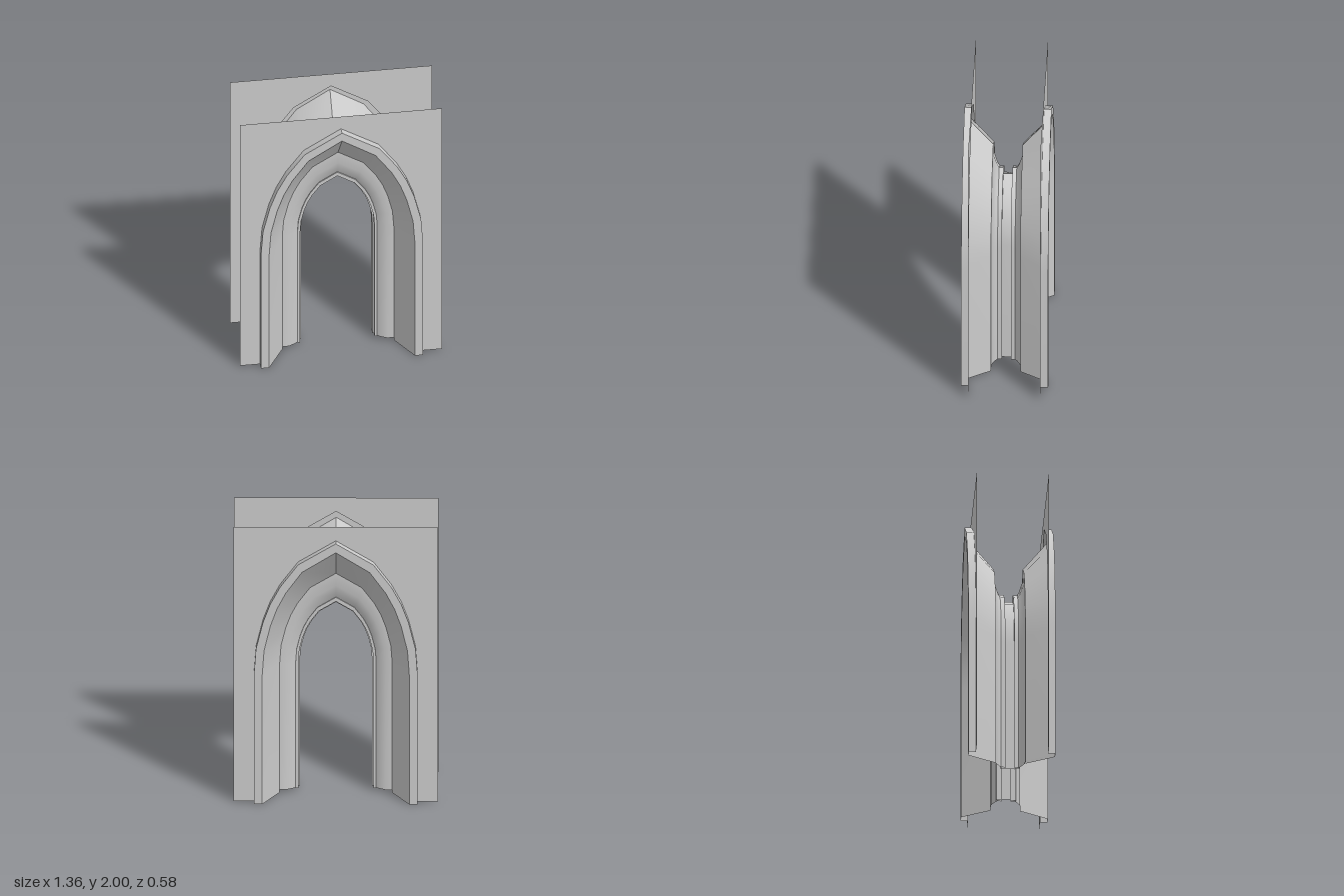
import * as THREE from 'three';
import { toCreasedNormals } from 'three/addons/utils/BufferGeometryUtils.js';

const SPRING = 0.94; // height at which the arch starts to curve
// Half of the pointed arch, as fractions of half-width and rise
const ARC = [[1, 0], [0.975, 0.2], [0.89, 0.4], [0.8, 0.54], [0.68, 0.67], [0.46, 0.84], [0, 1]];

const material = new THREE.MeshStandardMaterial({ color: 0xcccccc, side: THREE.DoubleSide });

// Arch outline from the left foot over the apex to the right foot
function archPath(halfWidth, apex, base) {
  const half = [[halfWidth, base], ...ARC.map(([u, v]) => [u * halfWidth, SPRING + v * (apex - SPRING)])];
  const mirrored = half.map(([x, y]) => [-x, y]);
  return [...mirrored, ...half.slice(0, -1).reverse()];
}

// Skin through a row of arches, each given as [halfWidth, apex, z]
function archSkin(name, sections, base) {
  const paths = sections.map(([w, apex]) => archPath(w, apex, base));
  const n = paths[0].length;
  const positions = [];
  const index = [];
  paths.forEach((path, j) => path.forEach(([x, y]) => positions.push(x, y, sections[j][2])));
  for (let j = 0; j < paths.length - 1; j++) {
    for (let i = 0; i < n - 1; i++) {
      const a = j * n + i, b = a + n;
      index.push(a, b, b + 1, a, b + 1, a + 1);
    }
  }
  const geometry = new THREE.BufferGeometry();
  geometry.setAttribute('position', new THREE.Float32BufferAttribute(positions, 3));
  geometry.setIndex(index);
  const mesh = new THREE.Mesh(toCreasedNormals(geometry, 0.6), material);
  mesh.name = name;
  return mesh;
}

// Thin wall sheet with the arch cut up from its foot
function wallPanel() {
  const outline = [[-0.68, 0], ...archPath(0.545, 1.9, 0), [0.68, 0], [0.68, 2], [-0.68, 2]];
  const shape = new THREE.Shape(outline.map(([x, y]) => new THREE.Vector2(x, y)));
  const mesh = new THREE.Mesh(new THREE.ShapeGeometry(shape), material);
  mesh.name = 'wallPanel';
  mesh.position.z = 0.24;
  return mesh;
}

// One face of the portal, stepping inwards from the wall
function portalSide(name) {
  const side = new THREE.Group();
  side.name = name;
  side.add(
    wallPanel(),
    archSkin('outerTrim', [[0.545, 1.9, 0.24], [0.545, 1.9, 0.29], [0.49, 1.835, 0.29]], 0),
    archSkin('slopedReveal', [[0.49, 1.835, 0.29], [0.375, 1.6, 0.098]], 0),
    archSkin('innerCove', [[0.375, 1.6, 0.098], [0.33, 1.51, 0.096], [0.285, 1.435, 0.073], [0.262, 1.4, 0.053]], 0.02),
    archSkin('innerBead', [[0.268, 1.41, 0.03], [0.268, 1.41, 0.066], [0.25, 1.38, 0.066], [0.25, 1.38, 0.03], [0.268, 1.41, 0.03]], 0.02),
    archSkin('throatStep', [[0.25, 1.38, 0.03], [0.24, 1.36, 0.03]], 0.02)
  );
  return side;
}

export function createModel() {
  const model = new THREE.Group();
  model.name = 'archedPortal';
  const front = portalSide('frontSide');
  const back = portalSide('backSide');
  back.rotation.y = Math.PI;
  // Narrow throat joining both sides
  const throat = archSkin('throat', [[0.24, 1.36, 0.03], [0.24, 1.36, -0.03]], 0.02);
  model.add(front, back, throat);
  return model;
}
